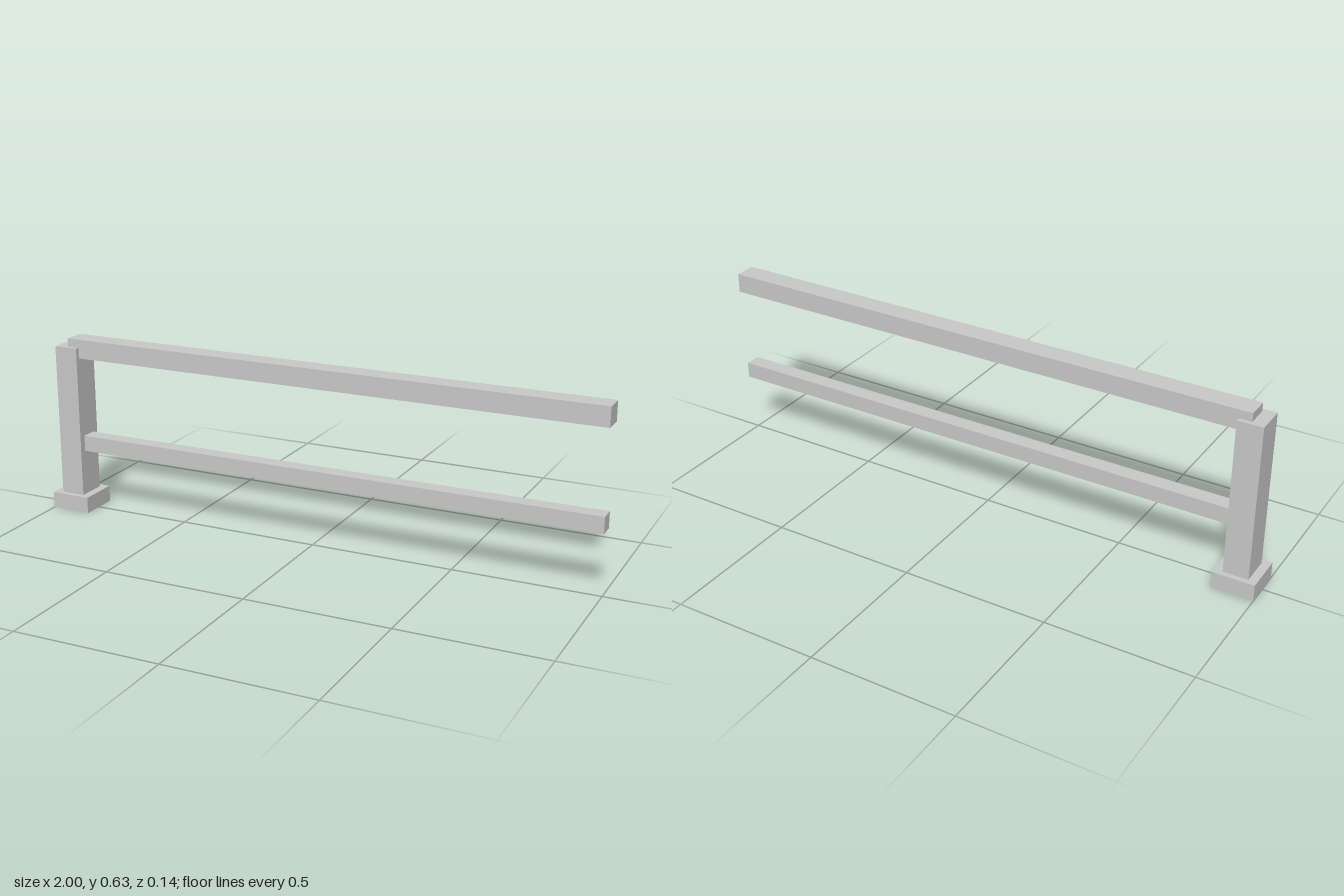
import * as THREE from 'three';

export function createModel() {
  const model = new THREE.Group();
  model.name = 'railing';
  const grey = new THREE.MeshStandardMaterial({ color: 0xc8c8c8 });
  grey.name = 'light grey';

  // Box given by its x and y limits and its depth, centred on z = 0
  function block(name, x0, x1, y0, y1, depth) {
    const mesh = new THREE.Mesh(new THREE.BoxGeometry(x1 - x0, y1 - y0, depth), grey);
    mesh.position.set((x0 + x1) / 2, (y0 + y1) / 2, 0);
    mesh.name = name;
    model.add(mesh);
  }

  const postX = -0.928;

  // End post on its foot
  block('foot', -1, -0.856, 0, 0.058, 0.144);
  block('post', postX - 0.043, postX + 0.043, 0.058, 0.598, 0.106);

  // Rails run from the centre of the post to the open end
  block('topRail', postX, 1, 0.56, 0.627, 0.076);
  block('lowerRail', postX, 1, 0.218, 0.274, 0.056);

  return model;
}
